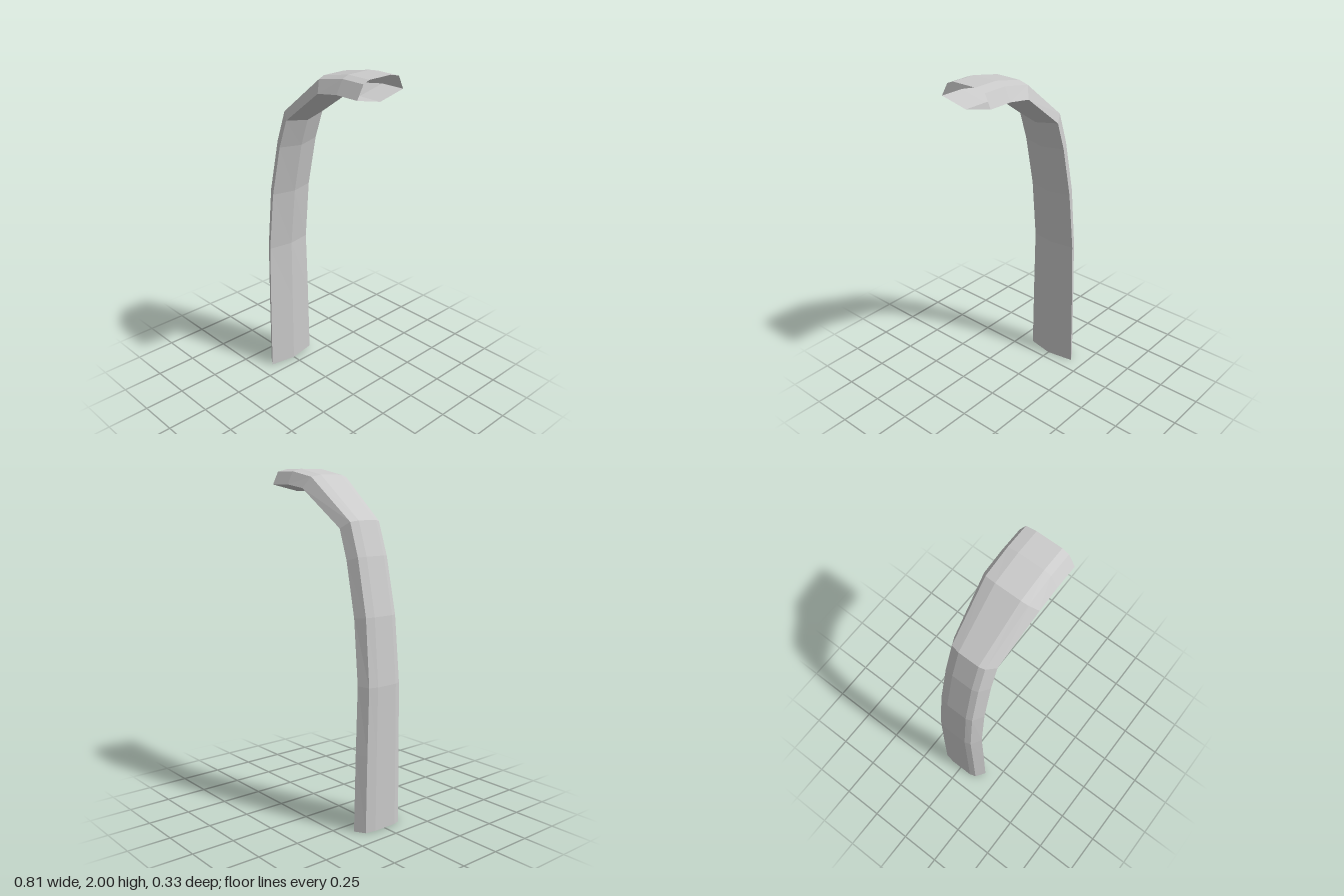
import * as THREE from 'three';

// Stations along the bent spout: outer (x, y), inner (x, y), width factors for -z and +z sides
const stations = [
  [-0.405, 0, -0.305, 0, 0.166, 0.159],
  [-0.405, 0.45, -0.305, 0.45, 0.156, 0.153],
  [-0.405, 0.83, -0.305, 0.84, 0.144, 0.146],
  [-0.37, 1.21, -0.265, 1.2, 0.138, 0.142],
  [-0.3, 1.53, -0.2, 1.5, 0.136, 0.138],
  [-0.235, 1.72, -0.145, 1.66, 0.136, 0.135],
  [0.075, 1.965, 0.135, 1.86, 0.168, 0.165],
  [0.255, 2, 0.255, 1.875, 0.168, 0.165],
  [0.4, 2, 0.4, 1.875, 0.168, 0.165],
];

// Seven-sided section: [share of half width, depth from outer face to inner ridge]
const section = [
  [-1, 0.71], [-0.785, 0.12], [-0.41, 0], [0.5, 0], [0.745, 0.12], [1, 0.71], [0, 1],
];

// Skin the sections into an open tube
function sweptTube() {
  const positions = [];
  const indices = [];
  const n = section.length;
  for (const [ox, oy, ix, iy, back, front] of stations) {
    for (const [w, d] of section) {
      positions.push(ox + (ix - ox) * d, oy + (iy - oy) * d, w * (w < 0 ? back : front));
    }
  }
  for (let s = 0; s < stations.length - 1; s++) {
    for (let k = 0; k < n; k++) {
      const a = s * n + k;
      const b = s * n + (k + 1) % n;
      indices.push(a, b, a + n, b, b + n, a + n);
    }
  }
  const geometry = new THREE.BufferGeometry();
  geometry.setAttribute('position', new THREE.Float32BufferAttribute(positions, 3));
  geometry.setIndex(indices);
  const flat = geometry.toNonIndexed();
  flat.computeVertexNormals();
  return flat;
}

export function createModel() {
  const group = new THREE.Group();
  group.name = 'bentPipe';
  const material = new THREE.MeshStandardMaterial({
    color: 0xcccccc, flatShading: true, side: THREE.DoubleSide,
  });
  const tube = new THREE.Mesh(sweptTube(), material);
  tube.name = 'curvedTube';
  group.add(tube);
  return group;
}
